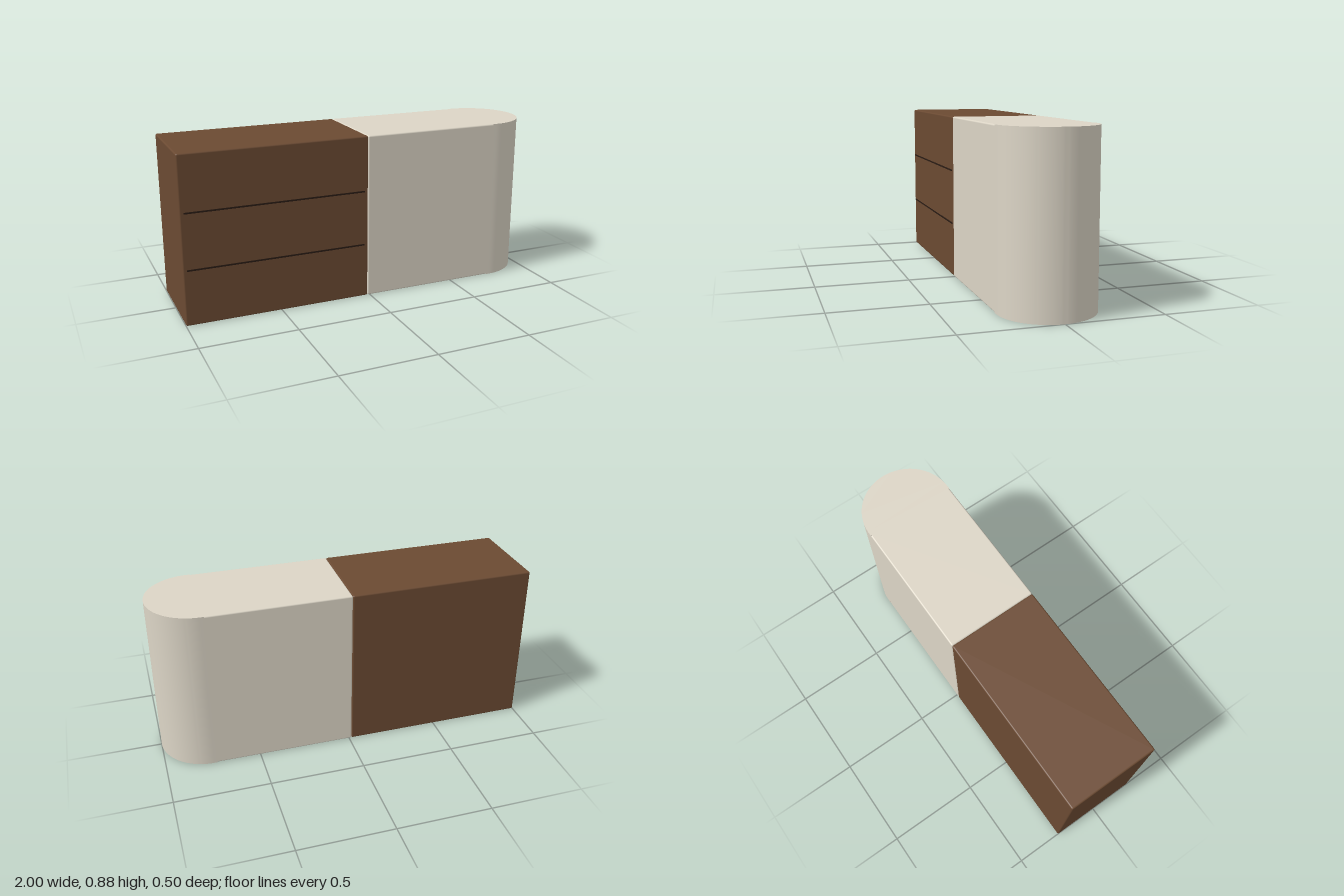
import * as THREE from 'three';
import { RoundedBoxGeometry } from 'three/addons/geometries/RoundedBoxGeometry.js';
import { toCreasedNormals } from 'three/addons/utils/BufferGeometryUtils.js';

const HEIGHT = 0.877, RADIUS = 0.2465, SEAM = -0.014, MID_Z = -0.001;

export function createModel() {
  const group = new THREE.Group();
  const wood = new THREE.MeshStandardMaterial({ color: 0x6b4a32 });
  const cream = new THREE.MeshStandardMaterial({ color: 0xdcd5c6 });
  const dark = new THREE.MeshStandardMaterial({ color: 0x2a1c14 });

  const add = (name, geometry, material, x, y, z) => {
    const mesh = new THREE.Mesh(geometry, material);
    mesh.name = name;
    mesh.position.set(x, y, z);
    group.add(mesh);
  };

  // Softly edged block spanning x0 to x1
  const block = (name, x0, x1, material) => add(
    name, new RoundedBoxGeometry(x1 - x0, HEIGHT, RADIUS * 2, 3, 0.008),
    material, (x0 + x1) / 2, HEIGHT / 2, MID_Z);

  block('drawerCabinet', -1, SEAM, wood);
  block('plainCabinet', SEAM, 0.745, cream);

  // Half-round end with a short straight lead-in that meets the cabinet
  const endShape = new THREE.Shape();
  const centreX = 1 - RADIUS, startX = 0.735;
  endShape.moveTo(startX, -RADIUS);
  endShape.lineTo(centreX, -RADIUS);
  endShape.absarc(centreX, 0, RADIUS, -Math.PI / 2, Math.PI / 2, false);
  endShape.lineTo(startX, RADIUS);
  endShape.closePath();
  const end = new THREE.ExtrudeGeometry(endShape, { depth: HEIGHT, bevelEnabled: false, curveSegments: 40 });
  end.rotateX(-Math.PI / 2);
  add('roundedEnd', toCreasedNormals(end, 0.6), cream, 0, 0, MID_Z);

  // Thin shadow lines dividing the front into three drawers
  for (const i of [1, 2]) {
    add(`drawerLine${i}`, new THREE.BoxGeometry(0.945, 0.008, 0.006),
      dark, -0.507, HEIGHT * i / 3, 0.2455);
  }
  return group;
}
